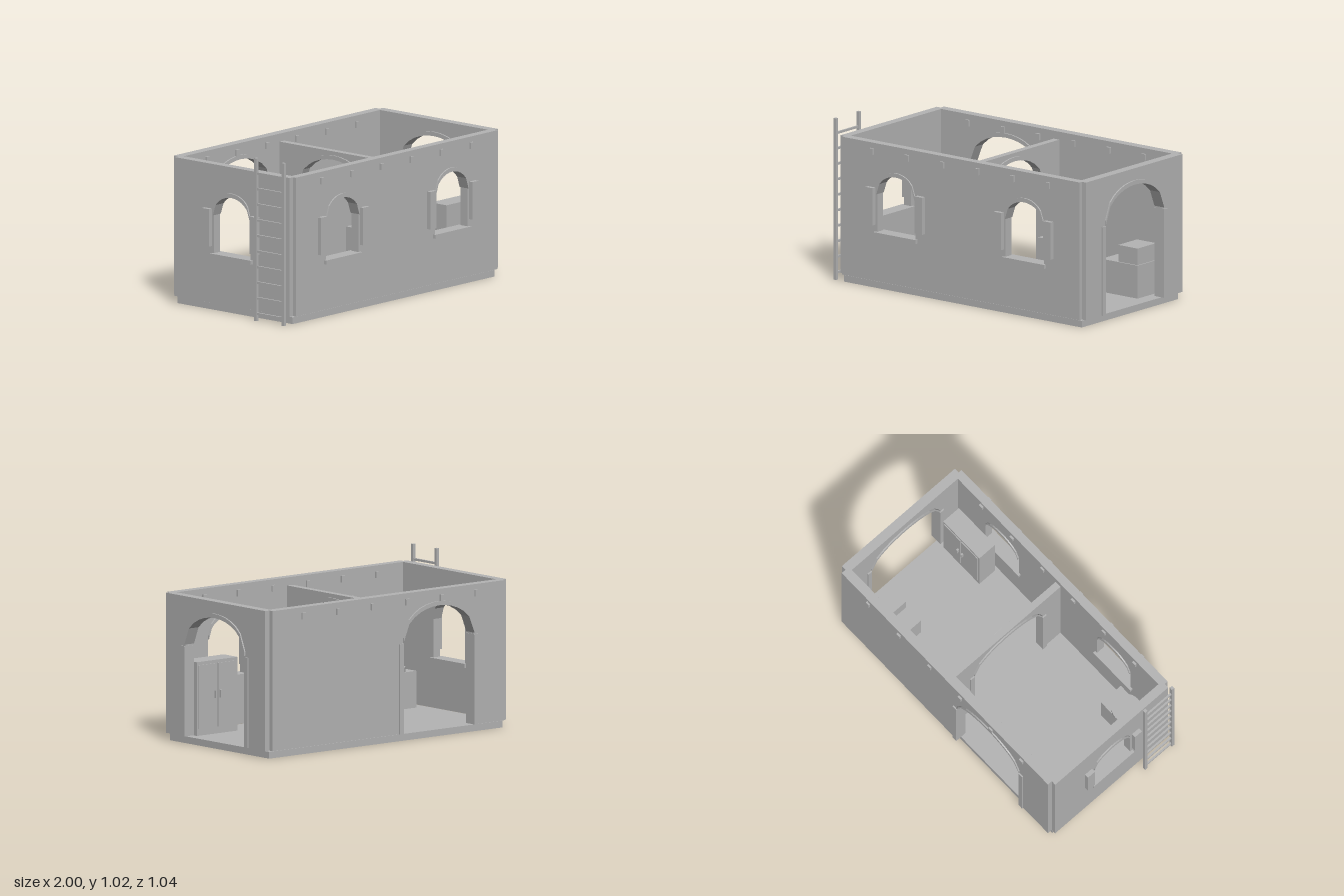
import * as THREE from 'three';

const stone = new THREE.MeshStandardMaterial({ color: 0xb4b4b4 });
stone.name = 'stone grey';

const BOTTOM = 0.05;
const ARCH_ANGLES = [0, 32, 46, 58, 69, 80, 90, 100, 111, 122, 134, 148, 180];

function add(parent, name, geometry, x = 0, y = 0, z = 0) {
  const mesh = new THREE.Mesh(geometry, stone);
  mesh.name = name;
  mesh.position.set(x, y, z);
  parent.add(mesh);
  return mesh;
}

// Box given by its minimum and maximum corners
function box(parent, name, x0, x1, y0, y1, z0, z1) {
  return add(parent, name, new THREE.BoxGeometry(x1 - x0, y1 - y0, z1 - z0),
    (x0 + x1) / 2, (y0 + y1) / 2, (z0 + z1) / 2);
}

// Points over an arch, from its right foot to its left foot
function archPoints(o, lift = 0) {
  return ARCH_ANGLES.map((deg) => {
    const a = THREE.MathUtils.degToRad(deg);
    return new THREE.Vector2(o.c + o.half * Math.cos(a), o.spring + lift + o.rise * Math.sin(a));
  });
}

function slab(shape, depth) {
  return new THREE.ExtrudeGeometry(shape, { depth, bevelEnabled: false }).translate(0, 0, -depth / 2);
}

const door = (c) => ({ c, half: 0.284, spring: 0.62, rise: 0.2, base: BOTTOM, isDoor: true });
const win = (c) => ({ c, half: 0.151, spring: 0.6, rise: 0.13, base: 0.36, isDoor: false });

// Wall in its own frame: width along x, outside towards +z
function buildWall(parent, { name, from, to, top = 0.92, thick, openings, beams = [] }) {
  const wall = new THREE.Group();
  wall.name = name;
  parent.add(wall);

  const outline = [new THREE.Vector2(from, BOTTOM)];
  const holes = [];
  for (const o of openings) {
    const edge = [new THREE.Vector2(o.c + o.half, o.base), ...archPoints(o),
      new THREE.Vector2(o.c - o.half, o.base)];
    if (o.isDoor) outline.push(...edge.reverse());
    else holes.push(new THREE.Path(edge));
  }
  outline.push(new THREE.Vector2(to, BOTTOM), new THREE.Vector2(to, top), new THREE.Vector2(from, top));
  const shape = new THREE.Shape(outline);
  shape.holes = holes;
  add(wall, 'wallPanel', slab(shape, thick));

  for (const o of openings) {
    // Raised crescent over the opening
    const crescent = new THREE.Shape([...archPoints(o, 0.026), ...archPoints(o).reverse()]);
    add(wall, 'archTrim', slab(crescent, thick + 0.018));
    const t = thick / 2;
    if (!o.isDoor) {
      box(wall, 'windowSill', o.c - 0.168, o.c + 0.168, 0.337, 0.362, -t - 0.018, t + 0.02);
    }
    for (const s of [-1, 1]) {
      if (o.isDoor) {
        const x = o.c + s * 0.299;
        box(wall, 'doorPost', x - 0.016, x + 0.016, BOTTOM, 0.61, -t - 0.009, t + 0.009);
      } else {
        const x = o.c + s * 0.195;
        box(wall, 'shutter', x - 0.029, x + 0.029, 0.405, 0.64, t, t + 0.027);
      }
    }
  }

  // Beam ends passing through the wall
  for (const x of beams) {
    add(wall, 'beamEnd', new THREE.BoxGeometry(0.028, 0.04, thick + 0.025), x, 0.865, 0);
  }
  return wall;
}

export function createModel() {
  const house = new THREE.Group();
  house.name = 'house';

  box(house, 'floor', -0.918, 0.957, 0, 0.042, -0.477, 0.463);

  // Outer walls and partition
  const beams = [-0.678, -0.4, -0.122, 0.156, 0.434, 0.712];
  const front = buildWall(house, { name: 'frontWall', from: -0.915, to: 0.957, thick: 0.055,
    openings: [win(-0.486), win(0.527)], beams });
  front.position.z = 0.4585;

  const back = buildWall(house, { name: 'backWall', from: -0.957, to: 0.915, thick: 0.06,
    openings: [door(0.375)], beams: beams.map((x) => -x) });
  back.position.z = -0.48;
  back.rotation.y = Math.PI;

  const rightSide = buildWall(house, { name: 'doorSideWall', from: -0.462, to: 0.478, thick: 0.06,
    openings: [door(0.006)] });
  rightSide.position.x = 0.96;
  rightSide.rotation.y = Math.PI / 2;

  const leftSide = buildWall(house, { name: 'ladderSideWall', from: -0.478, to: 0.462, thick: 0.056,
    openings: [win(-0.006)] });
  leftSide.position.x = -0.918;
  leftSide.rotation.y = -Math.PI / 2;

  const partition = buildWall(house, { name: 'partition', from: -0.44, to: 0.46, top: 0.87, thick: 0.044,
    openings: [door(0.006)] });
  partition.position.x = 0.02;
  partition.rotation.y = Math.PI / 2;

  // Ladder leaning upright beside the window wall
  const ladder = new THREE.Group();
  ladder.name = 'ladder';
  house.add(ladder);
  for (const z of [0.23, 0.453]) box(ladder, 'ladderRail', -1, -0.98, 0, 1.02, z - 0.01, z + 0.01);
  for (let i = 0; i < 10; i++) {
    const y = 0.045 + i * 0.0978;
    box(ladder, 'ladderRung', -0.996, -0.984, y - 0.007, y + 0.007, 0.23, 0.453);
  }

  // Cabinet with two doors and handles
  const cabinet = new THREE.Group();
  cabinet.name = 'cabinet';
  house.add(cabinet);
  box(cabinet, 'cabinetBody', 0.57, 0.897, 0.042, 0.5, 0.28, 0.41);
  for (const s of [-1, 1]) {
    const x = 0.7335 + s * 0.077;
    box(cabinet, 'cabinetDoor', x - 0.073, x + 0.073, 0.085, 0.48, 0.274, 0.281);
    const h = 0.7335 + s * 0.02;
    box(cabinet, 'cabinetHandle', h - 0.005, h + 0.005, 0.265, 0.312, 0.26, 0.275);
  }

  // Stacked crates
  box(house, 'largeCrate', 0.58, 0.865, 0.042, 0.25, -0.42, -0.195);
  box(house, 'smallCrate', 0.705, 0.857, 0.25, 0.355, -0.387, -0.205);

  // Chest with a round tray on top
  box(house, 'chest', -0.845, -0.567, 0.042, 0.27, 0.252, 0.415);
  add(house, 'roundTray', new THREE.CylinderGeometry(0.092, 0.092, 0.03, 32), -0.706, 0.285, 0.335);

  return house;
}
